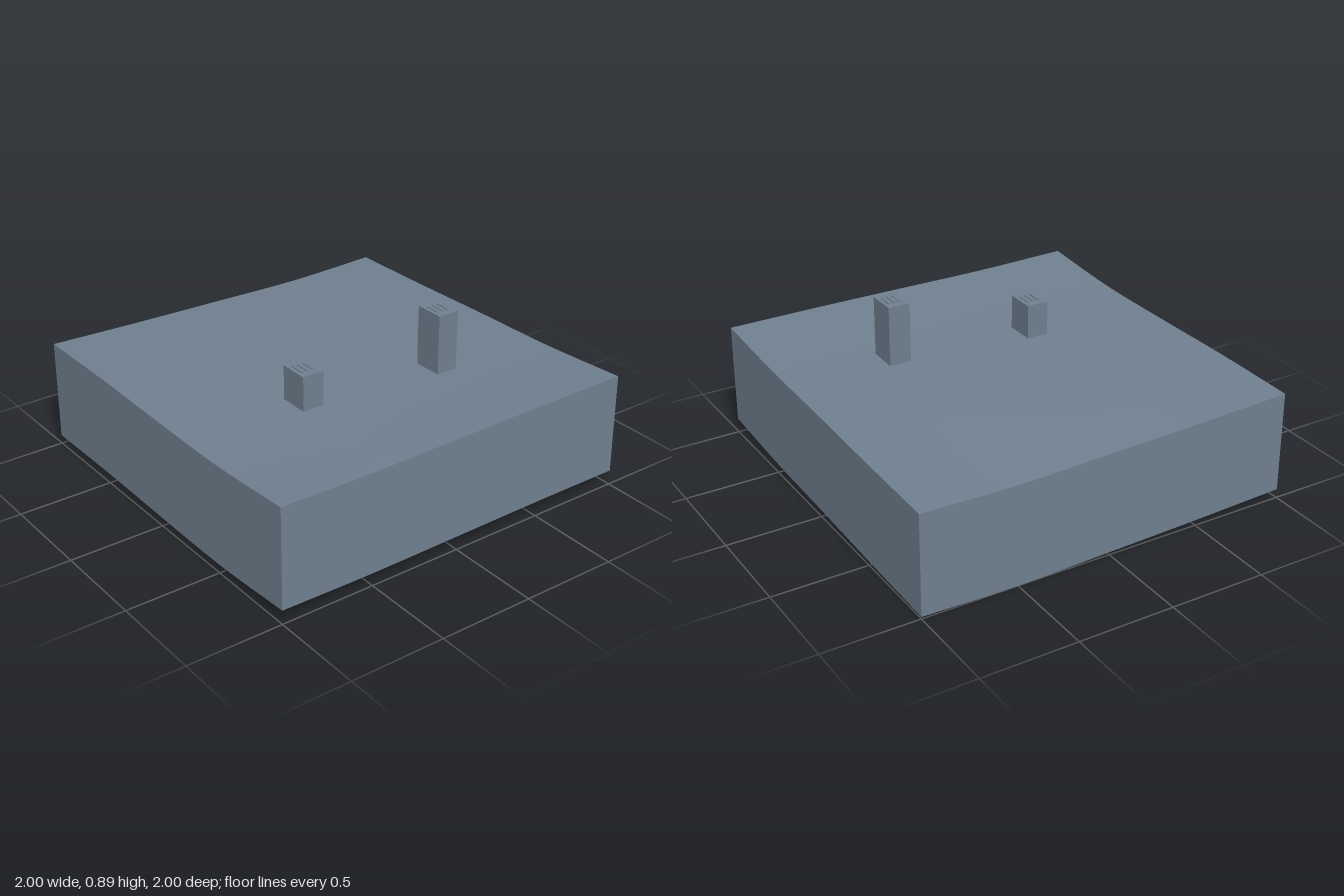
import * as THREE from 'three';

const slate = new THREE.MeshStandardMaterial({ color: 0x708090, side: THREE.DoubleSide });
slate.name = 'slate';

// Ground heights: rows from back (z = -1) to front, columns from x = -1 to x = 1
const HEIGHTS = [
  [0.582, 0.563, 0.548, 0.535, 0.545],
  [0.586, 0.575, 0.565, 0.555, 0.556],
  [0.580, 0.577, 0.574, 0.571, 0.571],
  [0.579, 0.578, 0.578, 0.580, 0.583],
  [0.608, 0.602, 0.607, 0.612, 0.613],
];
const SKIRT = 0.53;
const SEGMENTS = 24;

// Smooth curve through five evenly spaced values, t from -1 to 1
function smooth(values, t) {
  const s = (t + 1) * 2;
  const i = Math.min(3, Math.max(0, Math.floor(s)));
  const f = s - i;
  const at = (k) => (k < 0 ? 2 * values[0] - values[1] : k > 4 ? 2 * values[4] - values[3] : values[k]);
  const [a, b, c, d] = [at(i - 1), at(i), at(i + 1), at(i + 2)];
  return b + 0.5 * f * (c - a + f * (2 * a - 5 * b + 4 * c - d + f * (3 * (b - c) + d - a)));
}

const groundHeight = (x, z) => smooth(HEIGHTS.map((row) => smooth(row, x)), z);

function part(name, geometry) {
  const mesh = new THREE.Mesh(geometry, slate);
  mesh.name = name;
  return mesh;
}

// Gently rolling surface
function terrain() {
  const geometry = new THREE.PlaneGeometry(2, 2, SEGMENTS, SEGMENTS).rotateX(-Math.PI / 2);
  const p = geometry.attributes.position;
  for (let i = 0; i < p.count; i++) p.setY(i, groundHeight(p.getX(i), p.getZ(i)));
  geometry.computeVertexNormals();
  return part('terrain', geometry);
}

// One skirt wall of constant depth following the terrain edge
function skirtWall(name, angle) {
  const geometry = new THREE.PlaneGeometry(2, 1, SEGMENTS, 1).translate(0, 0, 1).rotateY(angle);
  const p = geometry.attributes.position;
  for (let i = 0; i < p.count; i++) {
    const drop = p.getY(i) > 0 ? 0 : SKIRT;
    p.setY(i, groundHeight(p.getX(i), p.getZ(i)) - drop);
  }
  return part(name, geometry);
}

// Plain block tower with small raised strips on its roof
function tower(name, x, z, top) {
  const group = new THREE.Group();
  group.name = name;
  const base = groundHeight(x, z) - 0.004;
  const height = top - base;
  const body = part('towerBody', new THREE.BoxGeometry(0.116, height, 0.158));
  body.position.set(x, base + height / 2, z);
  group.add(body);
  for (const dx of [-0.03, 0, 0.03]) {
    const strip = part('roofStrip', new THREE.BoxGeometry(0.016, 0.006, 0.08));
    strip.position.set(x + dx, top + 0.002, z);
    group.add(strip);
  }
  return group;
}

export function createModel() {
  const model = new THREE.Group();
  model.name = 'terrainTile';
  model.add(terrain());
  ['frontSkirt', 'leftSkirt', 'backSkirt', 'rightSkirt'].forEach((name, i) => {
    model.add(skirtWall(name, (i * Math.PI) / 2));
  });
  model.add(tower('shortTower', -0.337, 0.247, 0.757));
  model.add(tower('tallTower', 0.413, 0.332, 0.89));
  // Rest the lowest skirt edge on the ground
  const low = new THREE.Box3().setFromObject(model).min.y;
  model.children.forEach((child) => { child.position.y -= low; });
  return model;
}
